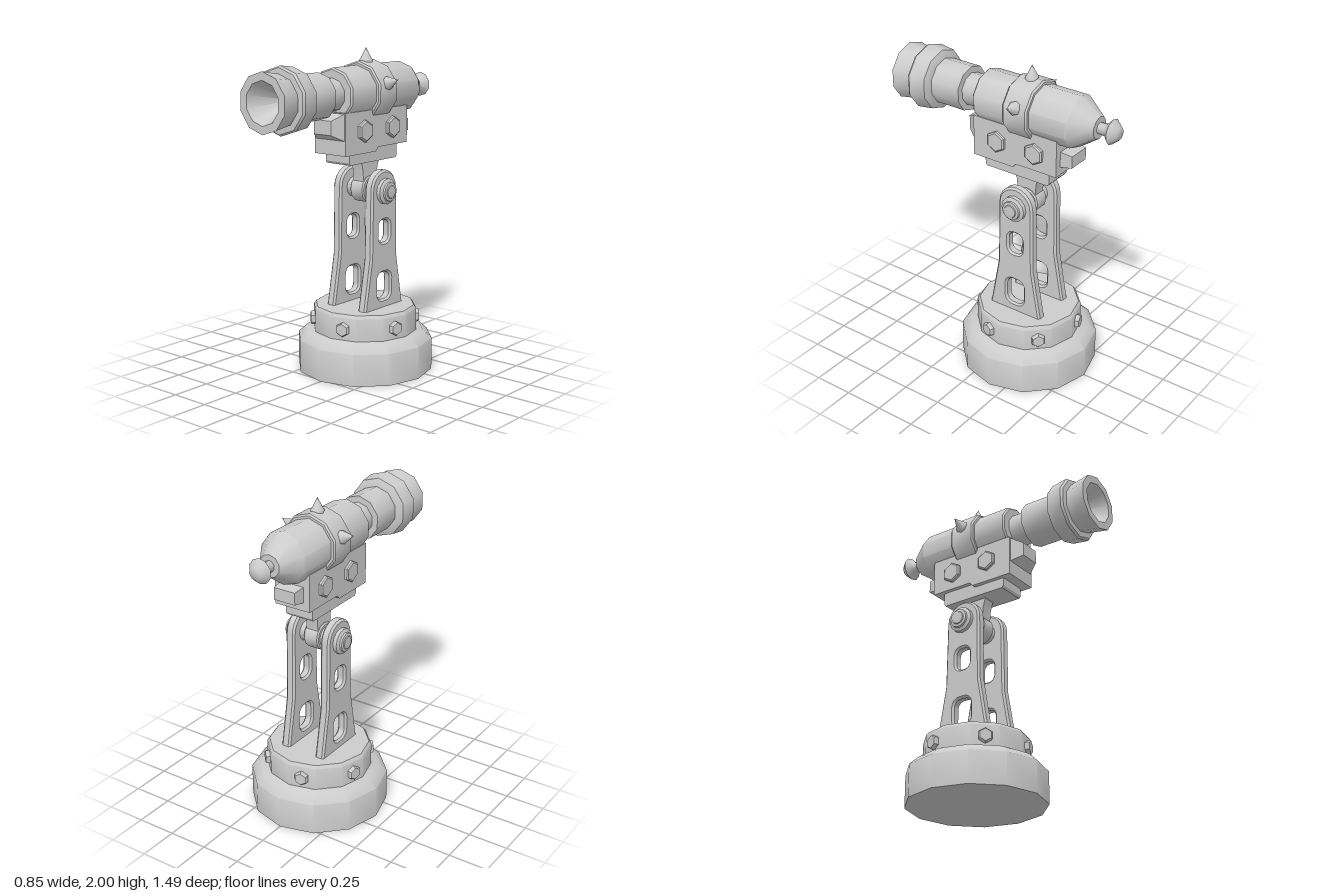
import * as THREE from 'three';
import { toCreasedNormals } from 'three/addons/utils/BufferGeometryUtils.js';

const CZ = -0.15;       // z of the base and pivot
const AXIS_Y = 1.74;    // height of the tube axis
const PIVOT_Y = 1.14;

export function createModel() {
  const model = new THREE.Group();
  const mat = new THREE.MeshStandardMaterial({ color: 0xcccccc, side: THREE.DoubleSide });

  function add(name, geo, x = 0, y = 0, z = 0, parent = model) {
    const mesh = new THREE.Mesh(geo, mat);
    mesh.name = name;
    mesh.position.set(x, y, z);
    parent.add(mesh);
    return mesh;
  }
  // Turned part from [radius, height] pairs, bottom to top
  function turned(profile, sides, crease = 0.7) {
    const pts = profile.map(([r, h]) => new THREE.Vector2(r, h));
    return toCreasedNormals(new THREE.LatheGeometry(pts, sides), crease);
  }
  // Side outline of [z, y] pairs, extruded to a width centred on x = 0
  function slab(shape, width, bevel) {
    const geo = new THREE.ExtrudeGeometry(shape, {
      depth: width - 2 * bevel, bevelEnabled: bevel > 0, bevelThickness: bevel,
      bevelSize: bevel, bevelOffset: -bevel, bevelSegments: 1, curveSegments: 5,
    });
    geo.translate(0, 0, -(width - 2 * bevel) / 2).rotateY(-Math.PI / 2);
    return toCreasedNormals(geo, 0.5);
  }
  const outline = (pts) => new THREE.Shape(pts.map(([z, y]) => new THREE.Vector2(z, y)));
  // Hexagonal bolt head pointing along +z, corner upward
  const hexBolt = (r, len) => turned(
    [[0, 0], [r, 0], [r, len * 0.75], [r * 0.85, len], [0, len]], 6, 0.3).rotateX(Math.PI / 2);
  // Block tapering towards +z
  function taperedBlock(w, h, d, sx, sy) {
    const geo = new THREE.BoxGeometry(w, h, d);
    const p = geo.attributes.position;
    for (let i = 0; i < p.count; i++) {
      if (p.getZ(i) > 0) p.setXY(i, p.getX(i) * sx, p.getY(i) * sy);
    }
    return toCreasedNormals(geo, 0.2);
  }

  // Base and upper collar
  add('base', turned([[0, 0], [0.425, 0], [0.425, 0.2], [0.37, 0.25], [0, 0.25]], 12, 0.82), 0, 0, CZ);
  add('collar', turned([[0, 0.24], [0.325, 0.24], [0.325, 0.39], [0.31, 0.41], [0, 0.41]], 12), 0, 0, CZ);
  for (let i = 0; i < 6; i++) {
    const a = THREE.MathUtils.degToRad(15 + 60 * i);
    const bolt = add('collarBolt', hexBolt(0.045, 0.035), Math.cos(a) * 0.305, 0.32, CZ + Math.sin(a) * 0.305);
    bolt.rotation.y = Math.PI / 2 - a;
  }

  // Twin support arms with rounded cut-outs
  const arm = new THREE.Shape();
  arm.moveTo(-0.188, 0.39);
  arm.lineTo(0.188, 0.39);
  arm.lineTo(0.127, 0.73);
  arm.lineTo(0.12, PIVOT_Y + 0.01);
  arm.absarc(0, PIVOT_Y + 0.01, 0.12, 0, Math.PI, false);
  arm.lineTo(-0.127, 0.73);
  function cutout(y0, y1, w, r) {
    const h = new THREE.Path();
    h.moveTo(w, y0 + r);
    h.absarc(w - r, y0 + r, r, 0, -Math.PI / 2, true);
    h.absarc(-w + r, y0 + r, r, -Math.PI / 2, -Math.PI, true);
    h.absarc(-w + r, y1 - r, r, Math.PI, Math.PI / 2, true);
    h.absarc(w - r, y1 - r, r, Math.PI / 2, 0, true);
    return h;
  }
  arm.holes.push(cutout(0.46, 0.63, 0.062, 0.045), cutout(0.82, 0.96, 0.05, 0.04));
  const armGeo = slab(arm, 0.062, 0.012);

  for (const s of [1, -1]) {
    const side = s > 0 ? 'left' : 'right';
    add(side + 'Arm', armGeo, s * 0.125, 0, CZ);
    // Pivot cap on the outer face
    const cap = add(side + 'PivotCap', turned(
      [[0, 0], [0.08, 0], [0.08, 0.03], [0.06, 0.04], [0.058, 0.052], [0.042, 0.055], [0.038, 0.06], [0, 0.063]],
      12).rotateZ(-Math.PI / 2), s * 0.15, PIVOT_Y, CZ);
    if (s < 0) cap.rotation.y = Math.PI;
  }

  // Pivot axle, hub and swivel post
  add('axle', toCreasedNormals(new THREE.CylinderGeometry(0.062, 0.062, 0.24, 12).rotateZ(Math.PI / 2), 0.7), 0, PIVOT_Y, CZ);
  add('hub', turned([[0, -0.052], [0.078, -0.052], [0.086, -0.044], [0.086, 0.044], [0.078, 0.052], [0, 0.052]], 12)
    .rotateZ(-Math.PI / 2), 0, PIVOT_Y, CZ);
  add('post', slab(outline([[-0.062, 1.14], [0.062, 1.14], [0.068, 1.26], [0.088, 1.33], [-0.088, 1.33], [-0.068, 1.26]]),
    0.08, 0), 0, 0, CZ);

  // Cradle under the tube
  add('cradlePlate', slab(outline([[-0.335, 1.32], [0.1, 1.32], [0.11, 1.335], [0.11, 1.42], [-0.345, 1.42], [-0.345, 1.335]]), 0.185, 0));
  add('cradle', slab(outline([[-0.41, 1.41], [-0.13, 1.41], [-0.105, 1.385], [0.175, 1.385], [0.175, 1.64], [-0.41, 1.64]]), 0.24, 0));
  add('frontBlock', taperedBlock(0.23, 0.17, 0.08, 0.58, 0.5), 0, 1.555, 0.205);
  add('rearBlock', taperedBlock(0.16, 0.1, 0.09, 0.9, 0.75), 0, 1.51, -0.44).rotation.y = Math.PI;
  for (const s of [1, -1]) {
    for (const z of [0.005, -0.26]) {
      add('cradleBolt', hexBolt(0.067, 0.03), s * 0.112, 1.52, z).rotation.y = s * Math.PI / 2;
    }
  }

  // Tube assembly, turned about the z axis
  const tube = new THREE.Group();
  tube.name = 'tube';
  tube.position.y = AXIS_Y;
  model.add(tube);
  const along = (name, profile, crease) =>
    add(name, turned(profile, 10, crease).rotateX(Math.PI / 2), 0, 0, 0, tube);

  along('rearKnob', [[0, -0.745], [0.038, -0.745], [0.076, -0.7], [0.036, -0.662], [0.033, -0.6], [0, -0.6]], 0.9);
  along('body', [[0, -0.615], [0.068, -0.615], [0.152, -0.495], [0.16, -0.48], [0.16, 0.147], [0.15, 0.157], [0, 0.157]]);
  along('neck', [[0, 0.14], [0.1, 0.14], [0.1, 0.29], [0, 0.29]]);
  along('barrel', [[0, 0.275], [0.14, 0.275], [0.14, 0.49], [0, 0.49]]);
  // Flared muzzle with a conical bore
  along('muzzle', [[0.13, 0.475], [0.145, 0.475], [0.187, 0.495], [0.2, 0.598], [0.19, 0.612], [0.155, 0.615],
    [0.177, 0.745], [0.128, 0.745], [0, 0.52]]);
  along('clamp', [[0.15, -0.24], [0.175, -0.24], [0.185, -0.23], [0.185, -0.08], [0.175, -0.07], [0.15, -0.07]]);

  // Spikes on the clamp
  for (const deg of [-72, 0, 72]) {
    const a = THREE.MathUtils.degToRad(deg);
    const spike = add('spike', turned([[0, 0.16], [0.04, 0.16], [0.04, 0.187], [0.034, 0.195], [0, 0.262]], 8, 0.9),
      0, 0, -0.155, tube);
    spike.rotation.z = a;
  }
  return model;
}
